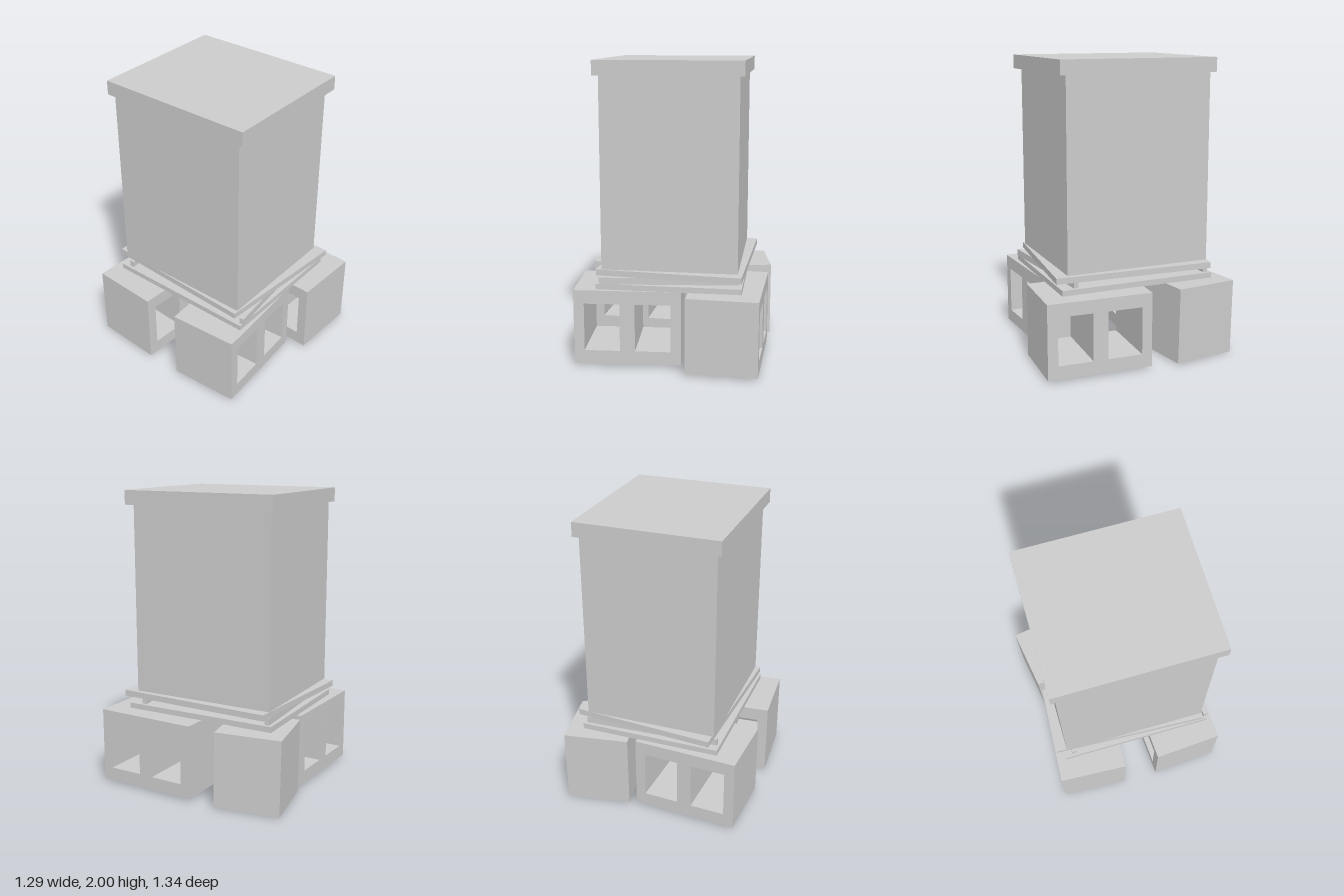
import * as THREE from 'three';

const material = new THREE.MeshStandardMaterial({ color: 0xcccccc, flatShading: true });

// Axis-aligned box by its limits [min, max] on each axis
function slab(name, [x0, x1], [y0, y1], [z0, z1]) {
  const mesh = new THREE.Mesh(new THREE.BoxGeometry(x1 - x0, y1 - y0, z1 - z0), material);
  mesh.position.set((x0 + x1) / 2, (y0 + y1) / 2, (z0 + z1) / 2);
  mesh.name = name;
  return mesh;
}

function rectangle(path, x0, x1, y0, y1) {
  path.moveTo(x0, y0);
  path.lineTo(x1, y0);
  path.lineTo(x1, y1);
  path.lineTo(x0, y1);
  path.closePath();
  return path;
}

// Hollow building block with two square cells running through its depth
function hollowBlockGeometry(length, height, depth) {
  const shape = rectangle(new THREE.Shape(), -length / 2, length / 2, -height / 2, height / 2);
  for (const cx of [-0.167, 0.167]) {
    shape.holes.push(rectangle(new THREE.Path(), cx - 0.117, cx + 0.117, -0.16, 0.16));
  }
  const geometry = new THREE.ExtrudeGeometry(shape, { depth, bevelEnabled: false });
  return geometry.translate(0, 0, -depth / 2);
}

export function createModel() {
  const model = new THREE.Group();
  model.name = 'hiveOnBlocks';

  // Three hollow blocks, loosely placed
  const blockGeometry = hollowBlockGeometry(0.705, 0.5, 0.47);
  const blocks = [
    ['backRightBlock', -0.279, -0.371, -0.054],
    ['frontRightBlock', -0.279, 0.303, 0.064],
    ['frontLeftBlock', 0.379, 0.3, -Math.PI / 2 - 0.042],
  ];
  for (const [name, x, z, turn] of blocks) {
    const block = new THREE.Mesh(blockGeometry, material);
    block.name = name;
    block.position.set(x, 0.27, z);
    block.rotation.y = turn;
    model.add(block);
  }

  // Solid half block, slightly tipped
  const cube = slab('backLeftBlock', [0.17, 0.608], [0.005, 0.515], [-0.639, -0.196]);
  cube.position.set(0.39, 0.261, -0.417);
  cube.rotation.set(-0.018, 0.163, 0);
  model.add(cube);

  // Base sheet with two skewed spacer bars
  model.add(slab('baseSheet', [-0.475, 0.48], [0.518, 0.557], [-0.557, 0.518]));
  for (const [name, z, turn] of [['frontBar', 0.463, 0.105], ['backBar', -0.5, 0.04]]) {
    const bar = slab(name, [-0.455, 0.46], [0.557, 0.602], [z - 0.016, z + 0.016]);
    bar.rotation.y = turn;
    model.add(bar);
  }

  // Skewed floor sheet, outlined in x and -z
  const outline = new THREE.Shape([
    new THREE.Vector2(-0.48, -0.475),
    new THREE.Vector2(0.48, -0.557),
    new THREE.Vector2(0.525, 0.523),
    new THREE.Vector2(-0.43, 0.602),
  ]);
  const floor = new THREE.Mesh(
    new THREE.ExtrudeGeometry(outline, { depth: 0.04, bevelEnabled: false }),
    material
  );
  floor.name = 'floorSheet';
  floor.rotation.x = -Math.PI / 2;
  floor.position.y = 0.602;
  model.add(floor);

  // Tall body and overhanging lid
  model.add(slab('body', [-0.445, 0.45], [0.642, 1.905], [-0.53, 0.47]));
  model.add(slab('lid', [-0.477, 0.482], [1.905, 2], [-0.56, 0.517]));

  return model;
}
